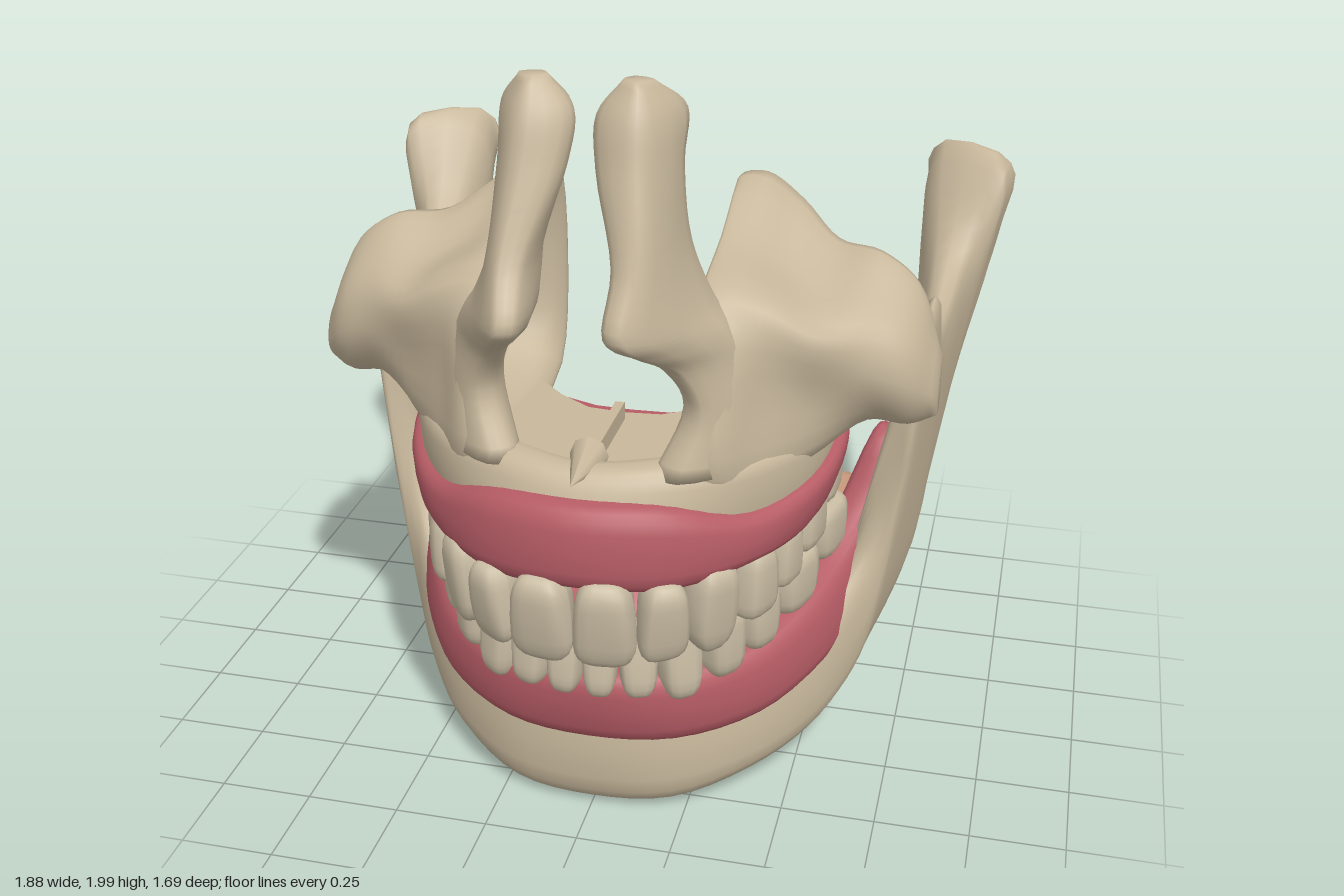
import * as THREE from 'three';

const V = (x, y, z) => new THREE.Vector3(x, y, z);
const mat = (name, color) => {
  const m = new THREE.MeshStandardMaterial({ color });
  m.name = name;
  return m;
};

// Smooth a closed outline of a few points into n points
const smoothRing = (pts, n = 24) =>
  new THREE.CatmullRomCurve3(pts, true).getPoints(n).slice(0, n);

// Skin through closed cross-sections, smoothed lengthwise, with capped ends
function loft(rings, steps) {
  const n = rings[0].length, pos = [], index = [];
  const lines = rings[0].map((_, j) => new THREE.CatmullRomCurve3(rings.map(r => r[j])));
  for (let i = 0; i <= steps; i++) {
    for (const line of lines) pos.push(...line.getPoint(i / steps).toArray());
  }
  for (let i = 0; i < steps; i++) {
    for (let j = 0; j < n; j++) {
      const a = i * n + j, b = i * n + (j + 1) % n;
      index.push(a, b, a + n, b, b + n, a + n);
    }
  }
  [[0, rings[0]], [steps * n, rings[rings.length - 1]]].forEach(([start, ring], end) => {
    const c = ring.reduce((s, p) => s.add(p), V(0, 0, 0)).divideScalar(n);
    const k = pos.length / 3;
    pos.push(c.x, c.y, c.z);
    for (let j = 0; j < n; j++) {
      const a = start + j, b = start + (j + 1) % n;
      if (end) index.push(a, b, k); else index.push(b, a, k);
    }
  });
  // Turn the faces outward
  const at = i => V(pos[3 * i], pos[3 * i + 1], pos[3 * i + 2]);
  let volume = 0;
  for (let i = 0; i < index.length; i += 3) {
    volume += at(index[i]).dot(at(index[i + 1]).cross(at(index[i + 2])));
  }
  if (volume < 0) index.reverse();
  const g = new THREE.BufferGeometry();
  g.setAttribute('position', new THREE.Float32BufferAttribute(pos, 3));
  g.setIndex(index);
  g.computeVertexNormals();
  return g;
}

function mirrored(g) {
  const m = g.clone().scale(-1, 1, 1);
  m.setIndex([...g.index.array].reverse());
  m.computeVertexNormals();
  return m;
}

// Symmetric horseshoe band. Station: bottom x, z, y, top x, z, y, bottom and top thickness
function horseshoe(half, steps) {
  const left = half.slice(1).reverse().map(s => s.map((v, i) => (i === 0 || i === 3 ? -v : v)));
  const all = [...left, ...half];
  const squash = v => Math.sign(v) * Math.abs(v) ** 0.65;
  const rings = all.map((s, i) => {
    const p = all[Math.max(i - 1, 0)], q = all[Math.min(i + 1, all.length - 1)];
    const normal = V(p[1] - q[1], 0, q[0] - p[0]).normalize();
    const bottom = V(s[0], s[2], s[1]), top = V(s[3], s[5], s[4]);
    return Array.from({ length: 20 }, (_, j) => {
      const a = j / 20 * Math.PI * 2, v = (1 + squash(Math.sin(a))) / 2;
      const t = s[6] + (s[7] - s[6]) * v ** 2;
      return bottom.clone().lerp(top, v).addScaledVector(normal, squash(Math.cos(a)) * t / 2);
    });
  });
  return loft(rings, steps);
}

// Crown with its biting edge at +y: chisel, pointed or flat with a dimple
function toothGeometry(kind, w, h, d) {
  const g = new THREE.SphereGeometry(1, 14, 12), p = g.attributes.position;
  const squash = v => Math.sign(v) * Math.abs(v) ** 0.6;
  for (let i = 0; i < p.count; i++) {
    let x = squash(p.getX(i)), y = squash(p.getY(i)), z = squash(p.getZ(i));
    const v = (y + 1) / 2, r = Math.min(1, Math.hypot(x, z));
    x *= 0.92 + 0.2 * v;
    if (kind === 'incisor') z = z * (1 - 0.55 * v) + 0.25 * v * (1 - v);
    if (kind === 'canine') { x *= 1 - 0.4 * v ** 4; z *= 1 - 0.4 * v; }
    if (kind === 'molar' && y > 0.5) y -= 0.25 * (1 - r);
    p.setXYZ(i, x * w / 2, y * h / 2, z * d / 2);
  }
  g.computeVertexNormals();
  return g;
}

function teethRow(name, arch, widths, edges, necks, depths, material) {
  const row = new THREE.Group();
  row.name = name;
  const curve = new THREE.CatmullRomCurve3(arch.map(([x, z]) => V(x, 0, z)));
  const total = widths.reduce((a, b) => a + b);
  let along = 0;
  widths.forEach((w, i) => {
    const u = (along + w / 2) / total;
    along += w;
    const c = curve.getPointAt(u), t = curve.getTangentAt(u);
    const kind = i < 2 ? 'incisor' : i === 2 ? 'canine' : 'molar';
    const g = toothGeometry(kind, w, Math.abs(edges[i] - necks[i]) + 0.02, depths[i]);
    if (edges[i] < necks[i]) g.rotateZ(Math.PI);
    for (const side of [1, -1]) {
      const m = new THREE.Mesh(g, material);
      m.name = kind;
      m.position.set(side * c.x, (edges[i] + necks[i]) / 2, c.z);
      m.rotation.y = side * Math.atan2(-t.z, t.x);
      row.add(m);
    }
  });
  return row;
}

// Flat plate filling the inside of the upper arch
function archPlate(half, depth, y) {
  const pts = [...half, ...half.slice(1, -1).reverse().map(([x, z]) => [-x, z])];
  const shape = new THREE.Shape(pts.map(([x, z]) => new THREE.Vector2(x, -z)));
  const g = new THREE.ExtrudeGeometry(shape, { depth, bevelEnabled: false });
  return g.rotateX(-Math.PI / 2).translate(0, y, 0);
}

export function createModel() {
  const model = new THREE.Group();
  model.name = 'jaws';
  const bone = mat('bone', 0xc8b89c), enamel = mat('enamel', 0xcabda4);
  const gum = mat('gum', 0xb65c65), flesh = mat('tongue', 0xba6068), gland = mat('gland', 0xc6987a);
  const add = (name, g, m) => {
    const mesh = new THREE.Mesh(g, m);
    mesh.name = name;
    model.add(mesh);
  };
  const addPair = (name, g, m) => {
    add('left' + name, g, m);
    add('right' + name, mirrored(g), m);
  };

  // Lower jaw: chin, body, front prong, notch and rear joint
  add('lowerJaw', horseshoe([
    [0, 0.52, 0.01, 0, 0.57, 0.4, 0.2, 0.08],
    [0.19, 0.5, 0.02, 0.19, 0.53, 0.4, 0.19, 0.08],
    [0.36, 0.39, 0.06, 0.36, 0.41, 0.38, 0.17, 0.08],
    [0.49, 0.23, 0.1, 0.51, 0.23, 0.4, 0.15, 0.09],
    [0.57, 0.1, 0.17, 0.64, 0.06, 0.6, 0.14, 0.07],
    [0.61, 0.01, 0.22, 0.765, 0.015, 1.23, 0.13, 0.05],
    [0.645, -0.1, 0.27, 0.78, -0.06, 1.3, 0.13, 0.06],
    [0.68, -0.25, 0.34, 0.77, -0.2, 1.15, 0.13, 0.08],
    [0.695, -0.4, 0.4, 0.765, -0.36, 1.13, 0.12, 0.1],
    [0.71, -0.56, 0.48, 0.78, -0.57, 1.26, 0.12, 0.17],
    [0.74, -0.65, 0.62, 0.80, -0.71, 1.47, 0.12, 0.36],
    [0.775, -0.68, 0.8, 0.805, -0.77, 1.51, 0.13, 0.42],
    [0.82, -0.76, 1.1, 0.805, -0.82, 1.48, 0.16, 0.38],
    [0.83, -0.83, 1.34, 0.82, -0.84, 1.42, 0.2, 0.24],
  ], 104), bone);

  add('lowerGum', horseshoe([
    [0, 0.55, 0.22, 0, 0.61, 0.46, 0.17, 0.14],
    [0.2, 0.52, 0.23, 0.19, 0.56, 0.46, 0.18, 0.15],
    [0.38, 0.39, 0.25, 0.36, 0.42, 0.47, 0.18, 0.15],
    [0.5, 0.21, 0.3, 0.47, 0.24, 0.52, 0.18, 0.15],
    [0.56, 0.05, 0.36, 0.54, 0.07, 0.59, 0.17, 0.14],
    [0.6, -0.08, 0.44, 0.6, -0.04, 0.69, 0.14, 0.12],
    [0.63, -0.19, 0.52, 0.65, -0.14, 0.87, 0.11, 0.06],
    [0.64, -0.27, 0.57, 0.66, -0.26, 0.82, 0.06, 0.04],
  ], 56), gum);

  // Upper gum and the bony ridge behind it
  add('upperGum', horseshoe([
    [0, 0.7, 0.76, 0, 0.69, 0.99, 0.17, 0.16],
    [0.2, 0.65, 0.75, 0.2, 0.64, 0.98, 0.17, 0.16],
    [0.36, 0.51, 0.77, 0.37, 0.51, 0.92, 0.17, 0.15],
    [0.45, 0.34, 0.78, 0.49, 0.33, 0.94, 0.16, 0.15],
    [0.49, 0.14, 0.83, 0.535, 0.14, 0.98, 0.15, 0.13],
    [0.49, -0.04, 0.86, 0.52, -0.03, 1.02, 0.13, 0.1],
  ], 44), gum);
  add('upperRidge', horseshoe([
    [0, 0.68, 0.86, 0, 0.63, 1.05, 0.13, 0.1],
    [0.19, 0.63, 0.86, 0.19, 0.59, 1.06, 0.13, 0.12],
    [0.35, 0.5, 0.86, 0.35, 0.49, 1.06, 0.13, 0.15],
    [0.46, 0.33, 0.86, 0.47, 0.31, 1.06, 0.13, 0.15],
    [0.49, 0.14, 0.88, 0.5, 0.13, 1.06, 0.13, 0.13],
    [0.48, -0.01, 0.9, 0.47, 0, 1.06, 0.1, 0.1],
  ], 40), bone);
  add('palateGum', archPlate([[0, 0.68], [0.2, 0.63], [0.34, 0.5], [0.44, 0.3], [0.48, 0],
    [0.36, 0.0], [0.24, 0.08], [0.1, 0.13], [0, 0.135]], 0.05, 0.92), gum);
  add('palateBone', archPlate([[0, 0.66], [0.2, 0.6], [0.34, 0.48], [0.42, 0.3], [0.42, 0.06],
    [0.27, 0.07], [0.19, 0.15], [0.1, 0.21], [0, 0.22]], 0.03, 0.971), bone);
  add('noseRidge', new THREE.BoxGeometry(0.025, 0.06, 0.4).translate(0, 1.02, 0.46), bone);
  add('noseSpine', new THREE.ConeGeometry(0.05, 0.18, 8).rotateX(Math.PI / 2)
    .translate(0, 1.045, 0.66), bone);

  // Upper jaw body and cheekbone: (z, y) outlines from the nose side out to the cheek tip
  const cheek = [
    [0.25, [[0.58, 1.0], [0.57, 1.2], [0.5, 1.42], [0.2, 1.51], [-0.07, 1.59], [-0.14, 1.3], [-0.06, 1.0]]],
    [0.32, [[0.58, 0.98], [0.58, 1.2], [0.47, 1.44], [0.2, 1.5], [-0.08, 1.6], [-0.16, 1.3], [-0.06, 0.98]]],
    [0.42, [[0.48, 0.97], [0.47, 1.2], [0.45, 1.41], [0.2, 1.45], [-0.06, 1.54], [-0.13, 1.3], [-0.04, 0.98]]],
    [0.53, [[0.35, 1.0], [0.39, 1.18], [0.42, 1.35], [0.25, 1.41], [0.03, 1.47], [0, 1.25], [0.05, 1.02]]],
    [0.65, [[0.26, 1.07], [0.36, 1.2], [0.35, 1.33], [0.22, 1.42], [0.1, 1.47], [0.09, 1.32], [0.14, 1.12]]],
    [0.75, [[0.24, 1.06], [0.32, 1.17], [0.3, 1.29], [0.2, 1.37], [0.12, 1.4], [0.11, 1.25], [0.13, 1.1]]],
    [0.82, [[0.19, 1.07], [0.24, 1.12], [0.23, 1.18], [0.19, 1.22], [0.15, 1.22], [0.14, 1.16], [0.15, 1.09]]],
  ];
  // The nose side is hollowed by shrunken copies of the first outline
  const hollow = [[0.4, 0.68], [0.28, 0.83]].map(([x, k]) =>
    [x, cheek[0][1].map(([z, y]) => [0.2 + (z - 0.2) * k, 1.25 + (y - 1.25) * k])]);
  addPair('UpperJawBody', loft([...hollow, ...cheek].map(([x, o]) =>
    smoothRing(o.map(([z, y]) => V(x, y, z)), 28)), 40), bone);

  // Upright plate beside the nose: (x, z) corners at each height
  const upright = [
    [1.03, [[0.17, 0.61], [0.24, 0.65], [0.38, 0.52], [0.25, 0.46]]],
    [1.2, [[0.235, 0.56], [0.29, 0.6], [0.38, 0.5], [0.28, 0.42]]],
    [1.32, [[0.2, 0.63], [0.25, 0.64], [0.37, 0.47], [0.27, 0.42]]],
    [1.39, [[0.15, 0.73], [0.2, 0.74], [0.34, 0.47], [0.23, 0.43]]],
    [1.46, [[0.1, 0.81], [0.16, 0.83], [0.29, 0.47], [0.18, 0.44]]],
    [1.6, [[0.1, 0.73], [0.17, 0.76], [0.235, 0.48], [0.15, 0.45]]],
    [1.8, [[0.04, 0.63], [0.15, 0.68], [0.22, 0.5], [0.1, 0.45]]],
    [1.92, [[0.03, 0.58], [0.14, 0.64], [0.22, 0.47], [0.1, 0.44]]],
    [2.0, [[0.09, 0.56], [0.13, 0.59], [0.16, 0.55], [0.11, 0.53]]],
  ];
  addPair('NosePlate', loft(upright.map(([y, o]) =>
    smoothRing(o.map(([x, z]) => V(x, y, z)), 16)), 40), bone);

  model.add(teethRow('upperTeeth',
    [[0, 0.75], [0.19, 0.71], [0.33, 0.58], [0.42, 0.4], [0.47, 0.2], [0.49, -0.03]],
    [0.155, 0.125, 0.14, 0.13, 0.12, 0.16, 0.16], [0.56, 0.57, 0.56, 0.6, 0.63, 0.67, 0.73],
    [0.79, 0.78, 0.8, 0.8, 0.81, 0.84, 0.88], [0.14, 0.13, 0.15, 0.15, 0.15, 0.16, 0.16], enamel));
  model.add(teethRow('lowerTeeth',
    [[0, 0.66], [0.15, 0.63], [0.3, 0.52], [0.41, 0.34], [0.48, 0.14], [0.52, -0.03]],
    [0.09, 0.1, 0.115, 0.12, 0.125, 0.19, 0.19], [0.62, 0.62, 0.63, 0.63, 0.64, 0.67, 0.73],
    [0.42, 0.42, 0.4, 0.43, 0.46, 0.5, 0.57], [0.12, 0.12, 0.14, 0.14, 0.15, 0.16, 0.16], enamel));

  // Tongue: z, y, half width, half height, tilt from tip to root
  add('tongue', loft([
    [0.52, 0.53, 0.1, 0.04, 0], [0.42, 0.53, 0.25, 0.11, 0], [0.2, 0.58, 0.32, 0.18, 0],
    [-0.02, 0.6, 0.34, 0.22, 0.25], [-0.2, 0.5, 0.34, 0.21, 0.7], [-0.3, 0.36, 0.31, 0.17, 1.2],
    [-0.36, 0.25, 0.27, 0.12, 1.4], [-0.38, 0.18, 0.18, 0.08, 1.5],
  ].map(([z, y, w, h, tilt]) => Array.from({ length: 28 }, (_, j) => {
    const a = j / 28 * Math.PI * 2, s = h * Math.sin(a);
    return V(w * Math.cos(a), y + s * Math.cos(tilt), z - s * Math.sin(tilt));
  })), 35), flesh);

  // Glands lying inside the rear of the lower jaw
  addPair('Gland', new THREE.SphereGeometry(1, 20, 14).scale(0.07, 0.11, 0.24)
    .rotateX(0.25).rotateY(-0.4).translate(0.47, 0.53, -0.12), gland);

  return model;
}
